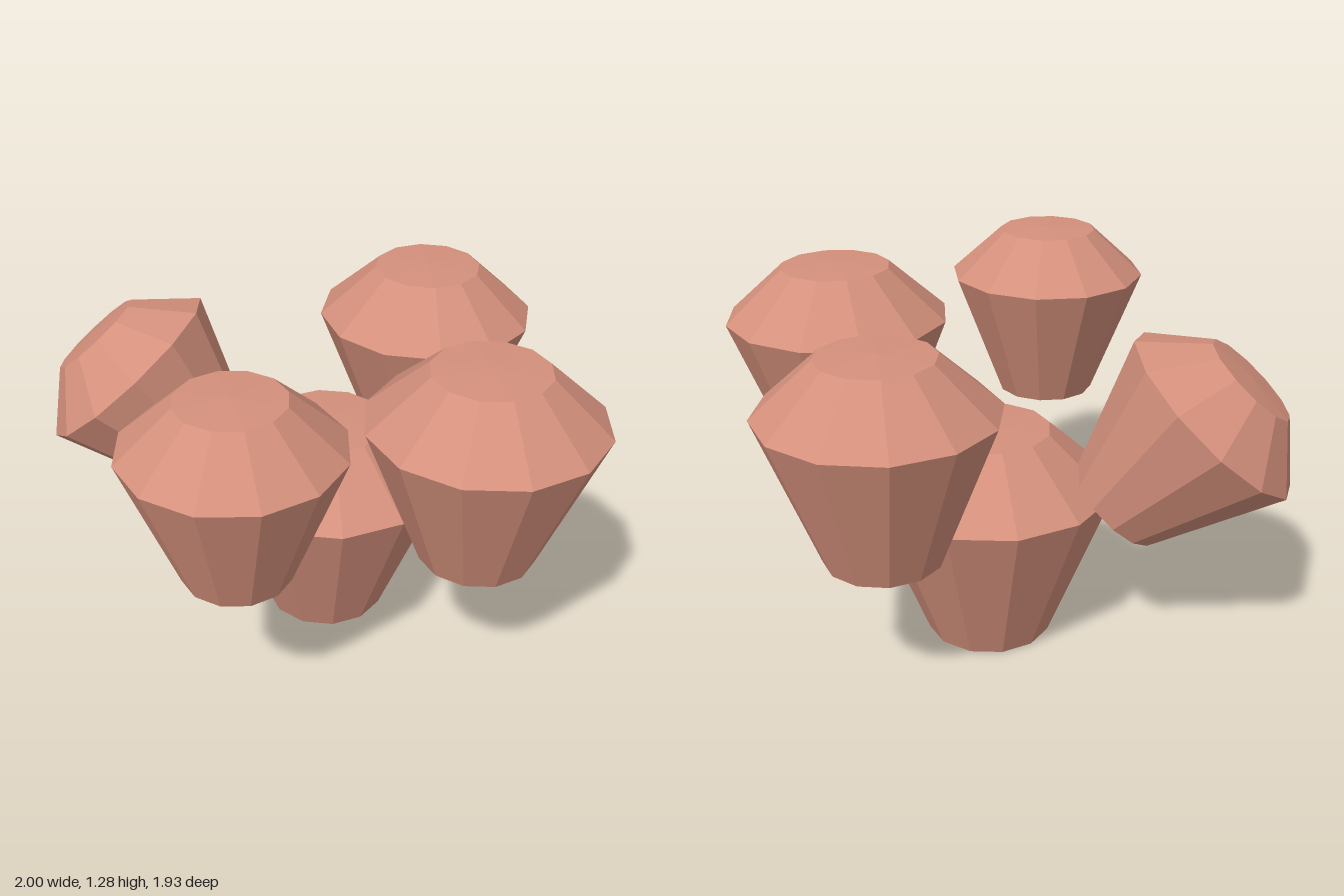
import * as THREE from 'three';

const SIDES = 12;

// Unit shape: tapered cup with a bevelled, slightly domed cap; rim radius 1
const PROFILE = [
  [0, 0], [0.5, 0],       // flat underside
  [1, 1.29],              // rim
  [0.49, 1.75], [0, 1.77] // cap
].map(([r, y]) => new THREE.Vector2(r, y));

// Each cup: rim radius, centre of its underside, facet angle and sideways lean in degrees
const CUPS = [
  { name: 'baseCup', size: 0.44, at: [0.02, 0, -0.13], facet: 12, lean: 0 },
  { name: 'frontCup', size: 0.36, at: [-0.13, 0.64, 0.61], facet: 3, lean: 0 },
  { name: 'leftCup', size: 0.4, at: [0.6, 0.525, 0.21], facet: 6.5, lean: 0 },
  { name: 'backCup', size: 0.39, at: [0.31, 0.51, -0.585], facet: 15, lean: 0 },
  { name: 'tiltedRightCup', size: 0.365, at: [-0.415, 0.527, -0.19], facet: 0, lean: 42 }
];

export function createModel() {
  const group = new THREE.Group();
  group.name = 'cupCluster';

  const clay = new THREE.MeshStandardMaterial({ color: 0xd4907c });
  clay.name = 'clay';

  // Separate faces give crisp flat facets
  const geometry = new THREE.LatheGeometry(PROFILE, SIDES).toNonIndexed();
  geometry.computeVertexNormals();

  for (const { name, size, at, facet, lean } of CUPS) {
    const cup = new THREE.Mesh(geometry, clay);
    cup.name = name;
    cup.scale.setScalar(size);
    cup.position.set(...at);
    // Turn the facets about the cup's own axis, then lean it
    cup.rotation.set(0, -THREE.MathUtils.degToRad(facet), THREE.MathUtils.degToRad(lean), 'ZYX');
    group.add(cup);
  }
  return group;
}
